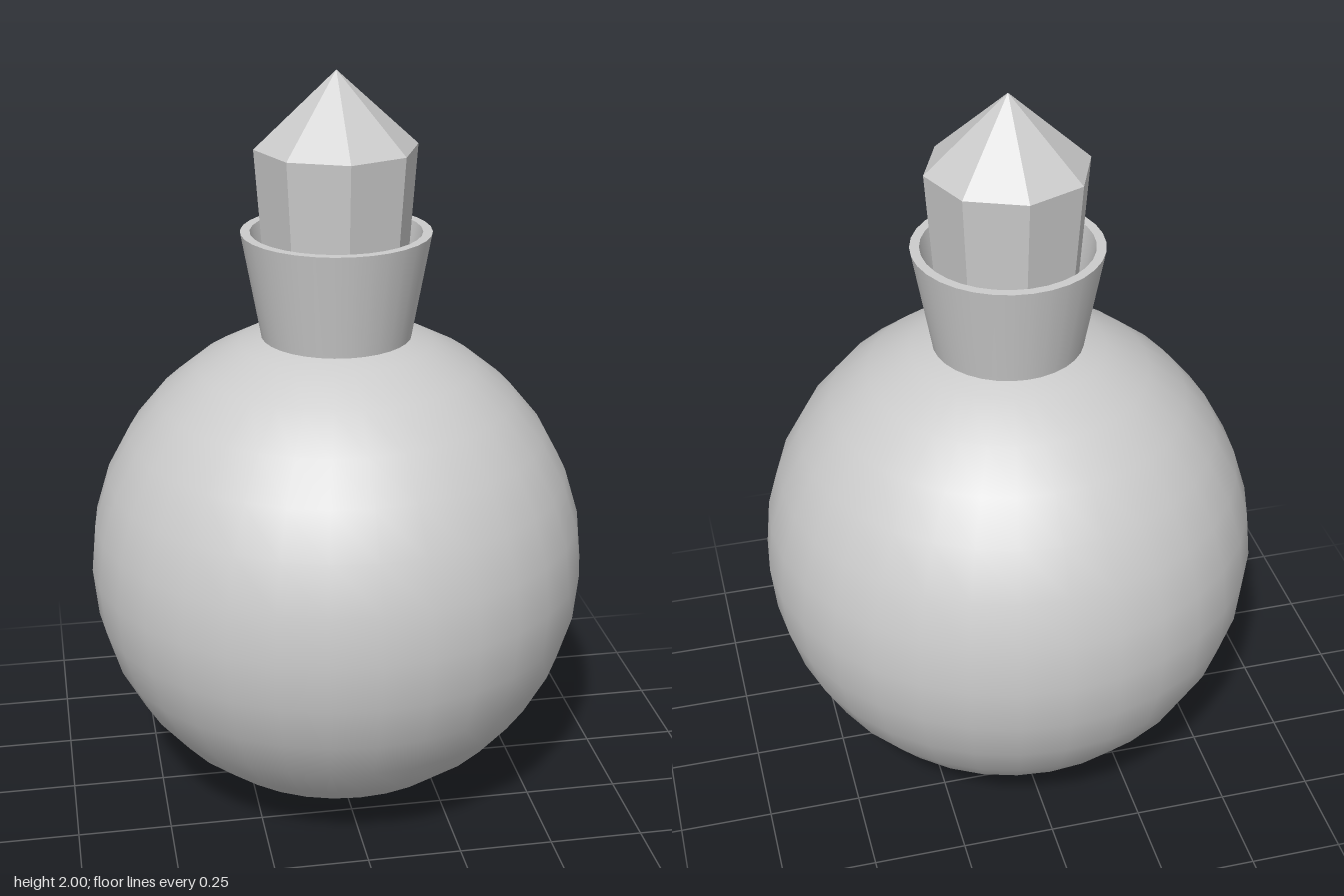
import * as THREE from 'three';

export function createModel() {
  const model = new THREE.Group();
  const add = (name, geometry, y, options = {}) => {
    const material = new THREE.MeshStandardMaterial({ color: 0xcccccc, ...options });
    const mesh = new THREE.Mesh(geometry, material);
    mesh.name = name;
    mesh.position.y = y;
    model.add(mesh);
  };

  // Round flask body
  add('body', new THREE.SphereGeometry(0.668, 32, 16), 0.67);

  // Flared hollow neck: outer wall, flat rim, inner wall, each with its own sharp edge
  const neckWall = (name, points) => add(
    name,
    new THREE.LatheGeometry(points.map(([r, y]) => new THREE.Vector2(r, y)), 32),
    0,
    { side: THREE.DoubleSide }
  );
  neckWall('neckOuterWall', [[0.196, 1.29], [0.2, 1.315], [0.249, 1.585]]);
  neckWall('neckRim', [[0.249, 1.585], [0.224, 1.585]]);
  neckWall('neckInnerWall', [[0.224, 1.585], [0.174, 1.3]]);

  // Faceted crystal stopper: tapered shaft seated in the neck, with a pointed cap
  const shoulder = 1.805, shaftBottom = 1.36, tip = 2;
  const shaftHeight = shoulder - shaftBottom, capHeight = tip - shoulder;
  add('stopperShaft', new THREE.CylinderGeometry(0.213, 0.18, shaftHeight, 8),
    shaftBottom + shaftHeight / 2, { flatShading: true });
  add('stopperPoint', new THREE.ConeGeometry(0.213, capHeight, 8, 1, true),
    shoulder + capHeight / 2, { flatShading: true });

  return model;
}
